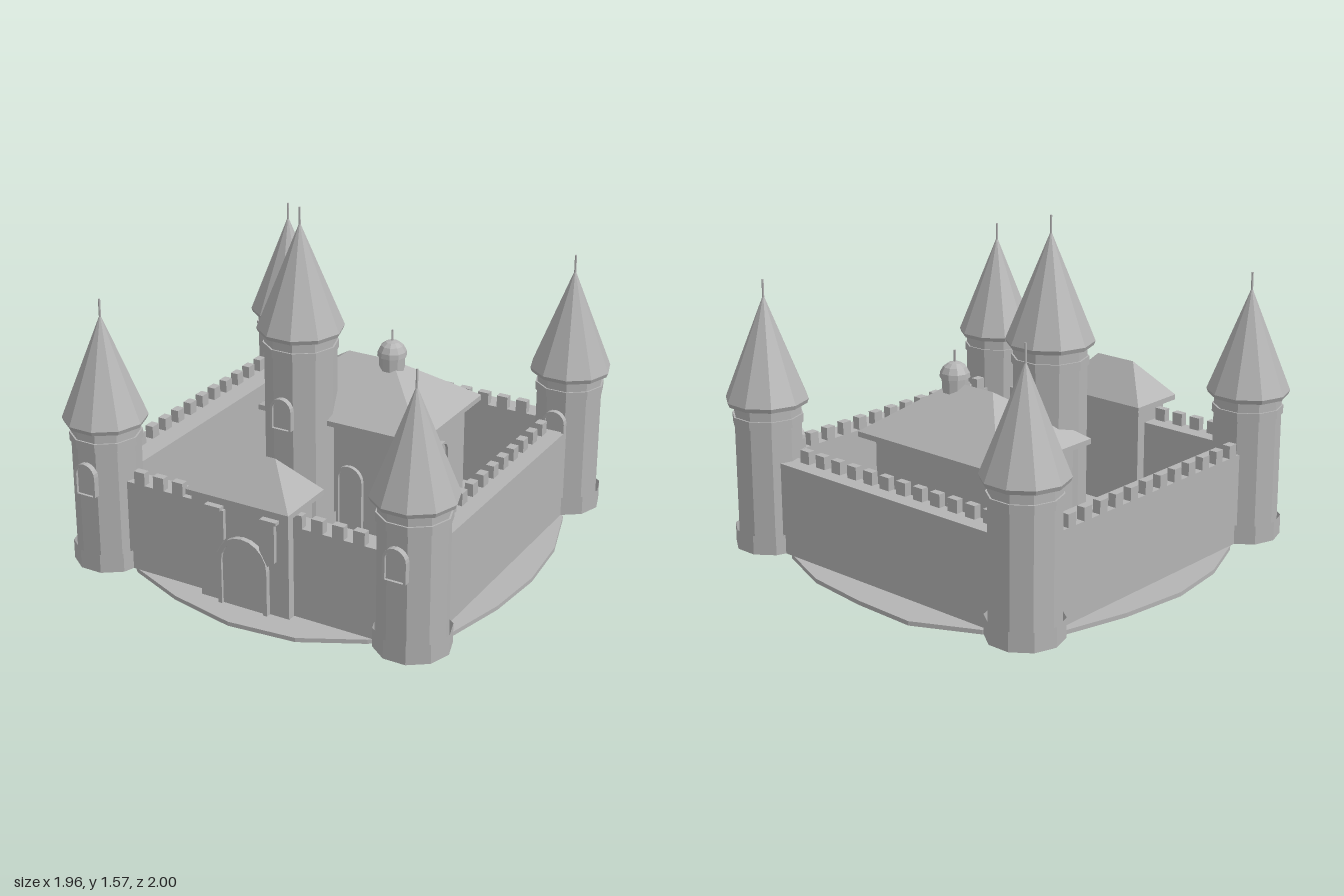
import * as THREE from 'three';

export function createModel() {
  const model = new THREE.Group();
  const stone = new THREE.MeshStandardMaterial({ color: 0xb4b4b4, flatShading: true, side: THREE.DoubleSide });
  stone.name = 'grey stone';

  const add = (name, geo, x = 0, y = 0, z = 0, parent = model) => {
    const m = new THREE.Mesh(geo, stone);
    m.name = name;
    m.position.set(x, y, z);
    parent.add(m);
    return m;
  };
  // Box given by its limits
  const block = (name, x0, x1, y0, y1, z0, z1, parent) =>
    add(name, new THREE.BoxGeometry(x1 - x0, y1 - y0, z1 - z0), (x0 + x1) / 2, (y0 + y1) / 2, (z0 + z1) / 2, parent);
  // Ten-sided tube or solid with corners on the x axis
  const drum = (name, r, y0, y1, open, parent, r2 = r) => {
    const g = new THREE.CylinderGeometry(r2, r, y1 - y0, 10, 1, open).rotateY(Math.PI / 2);
    return add(name, g, 0, (y0 + y1) / 2, 0, parent);
  };
  const lathe = (name, pts, parent, sides = 10) =>
    add(name, new THREE.LatheGeometry(pts.map(p => new THREE.Vector2(...p)), sides).rotateY(Math.PI / 2), 0, 0, 0, parent);

  // Round-headed outline standing on y = 0
  const arch = (Type, w, h) => {
    const s = new Type();
    s.moveTo(-w / 2, 0);
    s.lineTo(w / 2, 0);
    s.lineTo(w / 2, h - w / 2);
    s.absarc(0, h - w / 2, w / 2, 0, Math.PI, false);
    s.lineTo(-w / 2, 0);
    return s;
  };
  const extrude = (shape, depth) => new THREE.ExtrudeGeometry(shape, { depth, bevelEnabled: false, curveSegments: 5 });
  // Raised arch frame with a thin pane, facing +z
  const opening = (name, w, h, t, x, y, z, turn = 0, parent = model) => {
    const g = new THREE.Group();
    g.name = name;
    const frame = arch(THREE.Shape, w, h);
    frame.holes.push(arch(THREE.Path, w - 2 * t, h - t));
    add('archFrame', extrude(frame, 0.03), 0, 0, 0, g);
    add('archPane', extrude(arch(THREE.Shape, w - 2 * t, h - t), 0.009), 0, 0, 0.008, g);
    g.position.set(x, y, z);
    g.rotation.y = turn;
    parent.add(g);
  };
  // Hipped roof: box whose top corners are drawn in to a ridge
  const hipRoof = (name, x0, x1, z0, z1, y0, y1, ridge) => {
    const g = new THREE.BoxGeometry(x1 - x0, y1 - y0, z1 - z0);
    const p = g.attributes.position;
    for (let i = 0; i < p.count; i++) {
      if (p.getY(i) > 0) p.setXYZ(i, Math.sign(p.getX(i)) * ridge / 2, p.getY(i), 0);
    }
    g.computeVertexNormals();
    add(name, g, (x0 + x1) / 2, (y0 + y1) / 2, (z0 + z1) / 2);
  };

  // Ground slab with an uneven round outline
  const outline = [[-0.31, -1], [0, -0.99], [0.31, -0.95], [0.6, -0.83], [0.85, -0.62], [0.945, -0.31], [0.975, 0],
    [0.95, 0.3], [0.88, 0.6], [0.6, 0.83], [0.33, 0.97], [0.01, 1], [-0.31, 0.93], [-0.6, 0.81], [-0.83, 0.58],
    [-0.94, 0.3], [-0.98, 0], [-0.94, -0.33], [-0.86, -0.63], [-0.6, -0.86]];
  const slab = new THREE.Shape(outline.map(([x, z]) => new THREE.Vector2(x, -z)));
  add('ground', extrude(slab, 0.02).rotateX(-Math.PI / 2));

  // Towers
  const tower = (name, x, z, r, eave, tip, roofR, sill) => {
    const g = new THREE.Group();
    g.name = name;
    g.position.set(x, 0, z);
    model.add(g);
    drum('towerShaft', r, 0.02, eave, true, g);
    drum('towerFoot', r + 0.016, 0.02, 0.11, true, g);
    drum('towerBand', r + 0.008, eave - 0.1, eave - 0.06, false, g);
    lathe('towerRoof', [[0, eave], [roofR - 0.008, eave - 0.01], [roofR, eave + 0.01], [0, tip]], g);
    drum('finial', 0.005, tip - 0.02, tip + 0.07, false, g);
    opening('towerWindow', 0.11, 0.15, 0.012, 0, sill, r * 0.951 - 0.003, 0, g);
  };
  for (const x of [-0.77, 0.78]) {
    for (const z of [0.765, -0.785]) tower('cornerTower', x, z, 0.155, 0.71, 1.2, 0.191, 0.4);
  }
  tower('mainTower', -0.205, 0.028, 0.167, 0.995, 1.5, 0.202, 0.56);

  // Curtain walls
  block('frontWall', -0.77, 0.78, 0.02, 0.45, 0.71, 0.815);
  block('backWall', -0.77, 0.78, 0.02, 0.45, -0.84, -0.735);
  block('leftHandWall', -0.83, -0.69, 0.02, 0.45, -0.785, 0.765);
  block('rightHandWall', 0.72, 0.835, 0.02, 0.45, -0.785, 0.765);

  // Battlements
  for (let i = 0; i < 12; i++) {
    const x = -0.59 + i * 0.101, z = -0.585 + i * 0.103;
    if (Math.abs(x + 0.025) > 0.22) block('frontMerlon', x, x + 0.055, 0.45, 0.51, 0.78, 0.815);
    block('backMerlon', x + 0.01, x + 0.065, 0.45, 0.51, -0.77, -0.735);
    block('sideMerlon', -0.83, -0.79, 0.45, 0.51, z, z + 0.05);
    block('sideMerlon', 0.72, 0.76, 0.45, 0.51, z, z + 0.05);
  }

  // Gatehouse
  block('gatehouse', -0.22, 0.23, 0.02, 0.53, 0.66, 0.855);
  block('gateEave', -0.25, 0.265, 0.525, 0.55, 0.62, 0.91);
  hipRoof('gateRoof', -0.25, 0.265, 0.62, 0.91, 0.55, 0.72, 0.215);
  opening('gate', 0.25, 0.34, 0.02, 0.008, 0.02, 0.85);
  for (const s of [-1, 1]) {
    const b = new THREE.Shape([[0.09, 0.47], [0.09, 0.33], [0.13, 0.26], [0.165, 0.285], [0.165, 0.47]]
      .map(([x, y]) => new THREE.Vector2(s * x, y)));
    add('gateBracket', extrude(b, 0.025), 0.006, 0, 0.85);
    block('gateLedge', 0.006 + s * 0.14 - 0.04, 0.006 + s * 0.14 + 0.04, 0.47, 0.485, 0.85, 0.885);
  }

  // Great hall
  block('hall', -0.365, 0.375, 0.02, 0.56, -0.5, 0);
  block('hallEave', -0.42, 0.43, 0.555, 0.58, -0.56, 0.06);
  hipRoof('hallRoof', -0.42, 0.43, -0.56, 0.06, 0.58, 0.805, 0.23);
  opening('hallDoor', 0.14, 0.33, 0.015, 0.04, 0.02, -0.01);
  opening('hallWindow', 0.11, 0.15, 0.012, 0.365, 0.3, -0.25, Math.PI / 2);
  opening('hallWindow', 0.11, 0.15, 0.012, -0.355, 0.3, -0.25, -Math.PI / 2);

  // Domed lantern on the ridge
  const lantern = new THREE.Group();
  lantern.name = 'roofLantern';
  lantern.position.set(0.118, 0, -0.25);
  model.add(lantern);
  drum('lanternDrum', 0.06, 0.7, 0.83, false, lantern);
  lathe('lanternDome', [[0, 0.83], [0.07, 0.83], [0.067, 0.853], [0.052, 0.88], [0.03, 0.896], [0, 0.903]], lantern);
  drum('lanternFinial', 0.005, 0.89, 0.955, false, lantern);

  return model;
}
